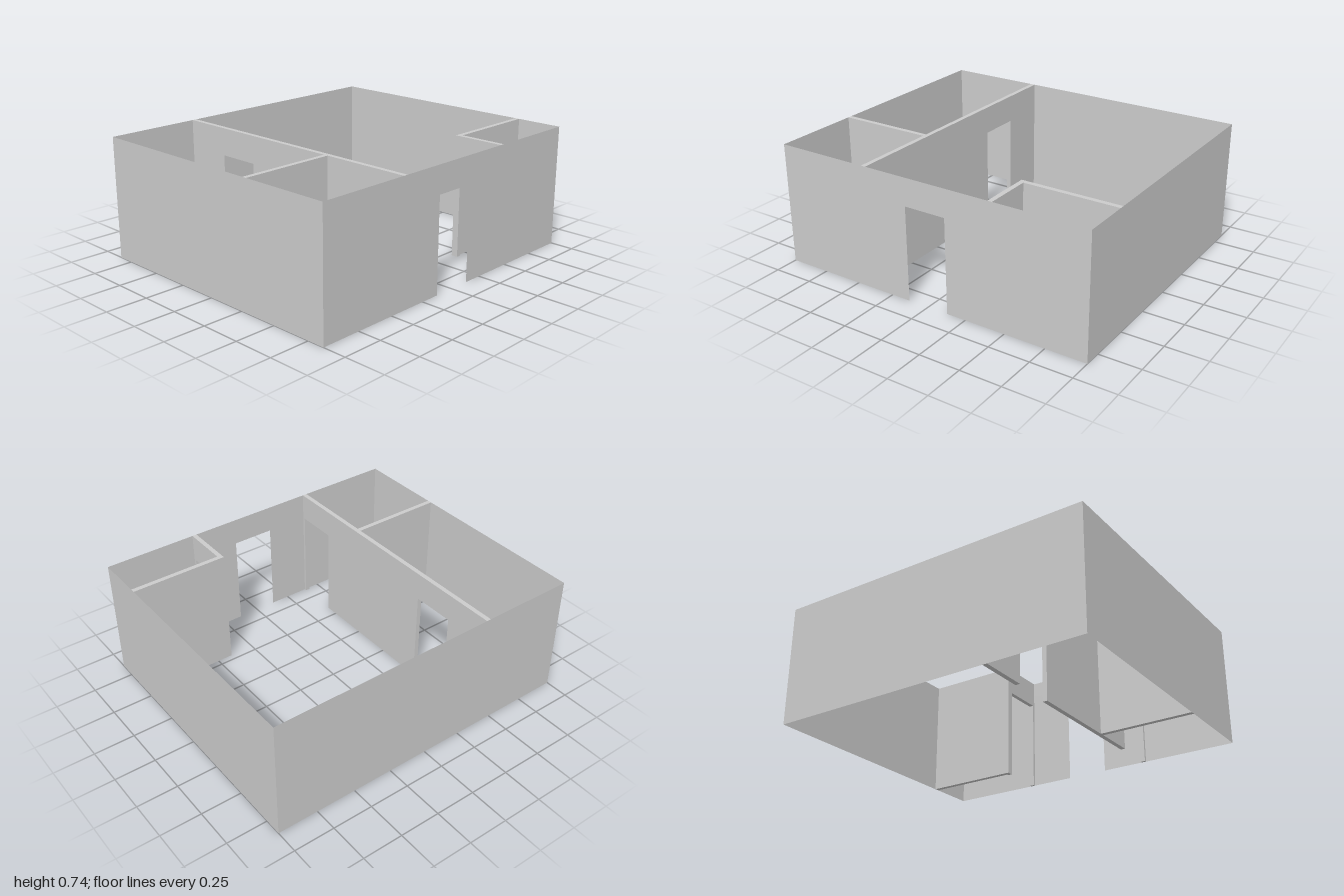
import * as THREE from 'three';

const X = 0.855, Z = 1, H = 0.743, DOOR_H = 0.575, T = 0.028;

// Wall outline from a to b, with door notches open at the floor
function wallShape(a, b, doors) {
  const s = new THREE.Shape();
  s.moveTo(a, 0);
  for (const [p, q] of doors) {
    s.lineTo(p, 0);
    s.lineTo(p, DOOR_H);
    s.lineTo(q, DOOR_H);
    s.lineTo(q, 0);
  }
  s.lineTo(b, 0);
  s.lineTo(b, H);
  s.lineTo(a, H);
  s.closePath();
  return s;
}

export function createModel() {
  const group = new THREE.Group();
  const solid = new THREE.MeshStandardMaterial({ color: 0xcccccc, flatShading: true });
  const sheet = new THREE.MeshStandardMaterial({ color: 0xcccccc, flatShading: true, side: THREE.DoubleSide });

  const add = (name, geometry, material) => {
    const mesh = new THREE.Mesh(geometry, material);
    mesh.name = name;
    group.add(mesh);
  };

  // Thin outer shell, open at top and bottom
  const outerWall = (name, half, offset, turn, doors = []) => {
    const g = new THREE.ShapeGeometry(wallShape(-half, half, doors));
    g.translate(0, 0, offset);
    g.rotateY(turn);
    add(name, g, sheet);
  };
  outerWall('frontWall', X, Z, 0);
  outerWall('backWall', X, Z, Math.PI);
  outerWall('entranceWall', Z, X, Math.PI / 2, [[-0.13, 0.13]]);
  outerWall('sideWall', Z, X, -Math.PI / 2);

  // Solid partitions running across the house, with doorways
  const crossPartition = (name, x0, x1, z, doors) => {
    const g = new THREE.ExtrudeGeometry(wallShape(x0, x1, doors), { depth: T, bevelEnabled: false });
    g.translate(0, 0, z - T / 2);
    add(name, g, solid);
  };
  crossPartition('mainPartition', -X, X, 0.41, [[-0.56, -0.297], [0.58, 0.84]]);
  crossPartition('smallRoomDoorWall', 0.54, X, -0.418, [[0.58, 0.84]]);

  // Solid partitions running front to back
  const lengthPartition = (name, x, z0, z1) => {
    const g = new THREE.BoxGeometry(T, H, z1 - z0);
    g.translate(x, H / 2, (z0 + z1) / 2);
    add(name, g, solid);
  };
  lengthPartition('frontRoomDivider', 0.3, 0.424, Z);
  lengthPartition('smallRoomSideWall', 0.554, -Z, -0.432);

  return group;
}
